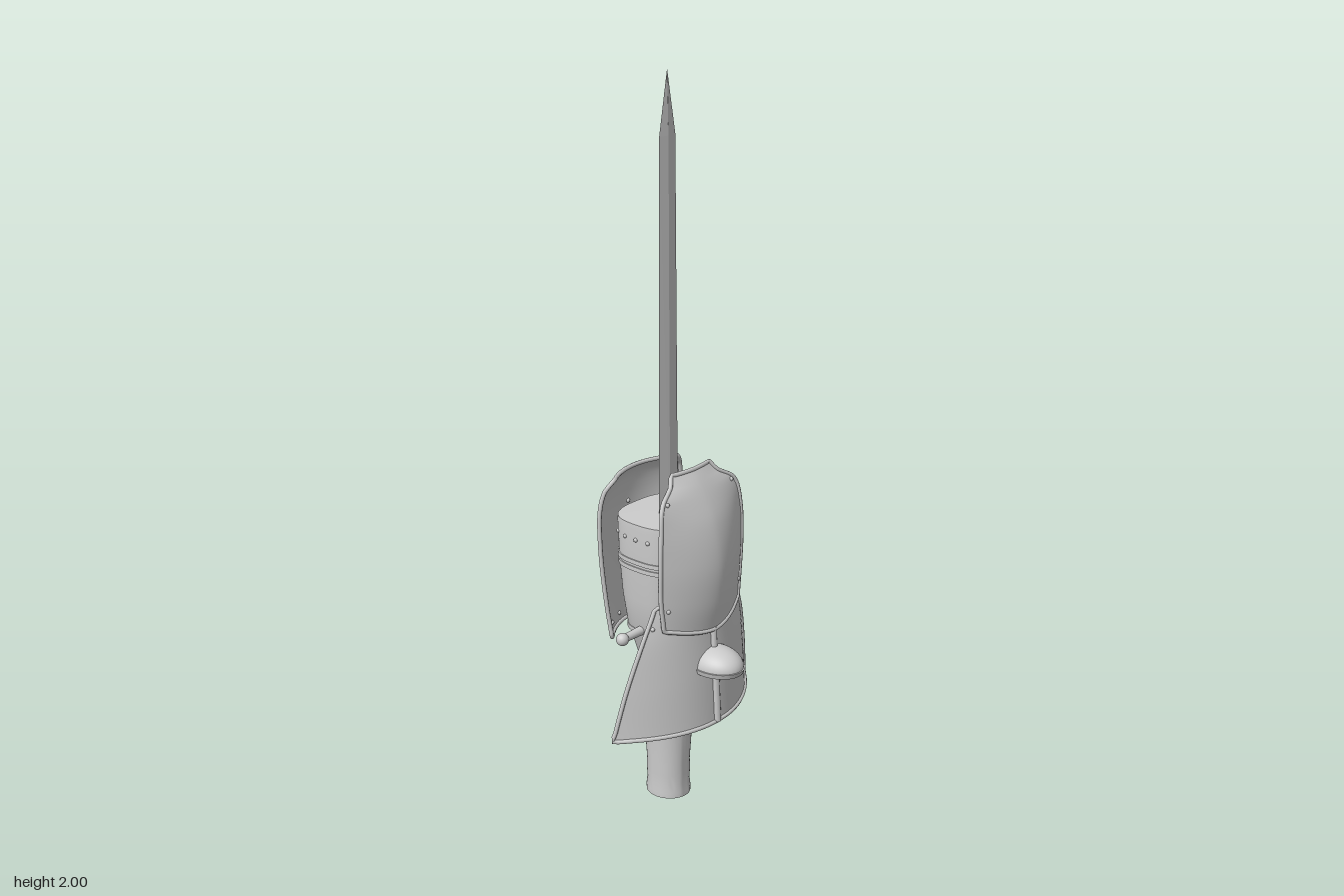
import * as THREE from 'three';
import { toCreasedNormals } from 'three/addons/utils/BufferGeometryUtils.js';

const mat = new THREE.MeshStandardMaterial({ color: 0xcccccc });
const thinMat = new THREE.MeshStandardMaterial({ color: 0xcccccc, side: THREE.DoubleSide });
const CZ = -0.05; // depth of the blade and body axis

function add(parent, name, geometry, x = 0, y = 0, z = 0, material = mat) {
  const m = new THREE.Mesh(geometry, material);
  m.name = name;
  m.position.set(x, y, z);
  parent.add(m);
  return m;
}

// Grid surface from f(u, v) -> [x, y, z], u and v in 0..1
function surface(f, nu, nv) {
  const pos = [], idx = [];
  for (let j = 0; j <= nv; j++)
    for (let i = 0; i <= nu; i++) pos.push(...f(i / nu, j / nv));
  for (let j = 0; j < nv; j++)
    for (let i = 0; i < nu; i++) {
      const a = j * (nu + 1) + i, b = a + nu + 1;
      idx.push(a, a + 1, b, a + 1, b + 1, b);
    }
  const g = new THREE.BufferGeometry();
  g.setAttribute('position', new THREE.Float32BufferAttribute(pos, 3));
  g.setIndex(idx);
  g.computeVertexNormals();
  return g;
}

// Closed loft: rows [y, halfX, halfZ], superelliptic sections of power n
function loft(rows, n, sides) {
  const pw = c => Math.sign(c) * Math.pow(Math.abs(c), 2 / n);
  return surface((u, v) => {
    const [y, hx, hz] = rows[Math.round(v * (rows.length - 1))];
    const a = -u * Math.PI * 2;
    return [hx * pw(Math.cos(a)), y, hz * pw(Math.sin(a))];
  }, sides, rows.length - 1);
}

// Curved armour plate: rows [y, halfWidth, zEdge, zCentre] from bottom to top, with a rolled rim
function plate(parent, name, rows, { power = 2, sag = 0, rim = 0.006 } = {}) {
  const curve = new THREE.CubicInterpolant(
    new Float32Array(rows.map(r => r[0])), new Float32Array(rows.flat()), 4);
  const y0 = rows[0][0], y1 = rows[rows.length - 1][0];
  const at = (u, v) => {
    const s = u * 2 - 1;
    const [y, w, ze, zc] = curve.evaluate(y0 + (y1 - y0) * v);
    const k = 1 - Math.pow(Math.abs(s), power);
    return [s * w, y - sag * k * (1 - v), ze + (zc - ze) * k];
  };
  const group = new THREE.Group();
  group.name = name;
  parent.add(group);
  add(group, name + 'Sheet', surface(at, 32, 28), 0, 0, 0, thinMat);
  const pts = [], n = 16;
  for (const edge of [t => [t, 0], t => [1, t], t => [1 - t, 1], t => [0, 1 - t]])
    for (let i = 0; i < n; i++) pts.push(new THREE.Vector3(...at(...edge(i / n))));
  const path = new THREE.CatmullRomCurve3(pts, true, 'catmullrom', 0.3);
  add(group, name + 'Rim', new THREE.TubeGeometry(path, 128, rim, 8, true));
  return { group, at };
}

// Small rivets at given u, v places on a plate
function rivets({ group, at }, places) {
  for (const [u, v] of places)
    add(group, 'rivet', new THREE.SphereGeometry(0.006, 8, 6), ...at(u, v));
}

export function createModel() {
  const model = new THREE.Group();

  // Blade with a diamond section
  const blade = loft([[0.8, 0.038, 0.006], [1.84, 0.03, 0.004], [2, 0.0005, 0.0005]], 2, 4).toNonIndexed();
  blade.computeVertexNormals();
  add(model, 'blade', blade, 0, 0, CZ);

  // Body with rounded square section, lid and bands
  const body = loft([[0.42, 0.001, 0.001], [0.42, 0.075, 0.07], [0.5, 0.1, 0.085], [0.52, 0.108, 0.09],
    [0.62, 0.12, 0.105], [0.72, 0.126, 0.113], [0.83, 0.13, 0.116], [0.843, 0.129, 0.115],
    [0.843, 0.124, 0.11], [0.846, 0.06, 0.055], [0.847, 0.001, 0.001]], 2.8, 64);
  add(model, 'body', toCreasedNormals(body, 0.6), 0, 0, CZ);
  for (const [y, hx, hz] of [[0.525, 0.111, 0.093], [0.715, 0.129, 0.116], [0.735, 0.13, 0.117]]) {
    const band = loft([[y - 0.006, hx - 0.01, hz - 0.01], [y - 0.006, hx, hz],
      [y + 0.006, hx, hz], [y + 0.006, hx - 0.01, hz - 0.01]], 2.8, 64);
    add(model, 'bodyBand', toCreasedNormals(band, 0.6), 0, 0, CZ);
  }
  for (const s of [-1, 1])
    for (let i = -2; i <= 2; i++)
      add(model, 'bodyRivet', new THREE.SphereGeometry(0.006, 8, 6),
        s * 0.129 * Math.pow(1 - Math.pow(Math.abs(i) * 0.35, 2.8), 1 / 2.8), 0.8, CZ + i * 0.04);

  // Grip with flared foot and collar
  const profile = [[0, 0], [0.064, 0], [0.064, 0.015], [0.061, 0.04], [0.063, 0.07], [0.062, 0.1],
    [0.073, 0.27], [0.079, 0.38], [0.085, 0.388], [0.086, 0.425], [0.08, 0.438], [0, 0.44]];
  const grip = new THREE.LatheGeometry(profile.map(p => new THREE.Vector2(...p)), 40);
  grip.scale(0.92, 1, 1);
  add(model, 'grip', toCreasedNormals(grip, 0.6), 0, 0, -0.053);

  // Crossguard bars with ball ends
  for (const s of [-1, 1]) {
    const bar = add(model, 'guardBar', new THREE.CylinderGeometry(0.011, 0.014, 0.1, 16), s * 0.125, 0.53, CZ - 0.003);
    bar.rotation.z = -s * Math.PI / 2;
    add(model, 'guardBall', new THREE.SphereGeometry(0.0175, 20, 14), s * 0.181, 0.53, CZ - 0.003);
  }

  // Flared skirt plate
  const skirt = plate(model, 'skirt', [[0.278, 0.272, -0.006, 0.125], [0.42, 0.239, 0.014, 0.116],
    [0.54, 0.2, 0.032, 0.106], [0.64, 0.155, 0.042, 0.1]], { power: 2.1 });
  rivets(skirt, [[0.03, 0.85], [0.97, 0.85], [0.06, 0.97], [0.94, 0.97]]);

  // Domed front plate narrowing to a notched top
  const front = plate(model, 'frontPlate', [[0.58, 0.15, 0.068, 0.115], [0.66, 0.16, 0.066, 0.13],
    [0.76, 0.163, 0.068, 0.134], [0.86, 0.158, 0.066, 0.113], [0.92, 0.145, 0.058, 0.083],
    [0.945, 0.122, 0.05, 0.067], [0.955, 0.098, 0.042, 0.06], [0.983, 0.075, 0.026, 0.036]],
  { power: 1.7, sag: 0.03 });
  rivets(front, [[0.05, 0.15], [0.95, 0.15], [0.05, 0.86], [0.95, 0.86]]);

  // Back plate curling forward at the top
  const back = plate(model, 'backPlate', [[0.497, 0.14, -0.13, -0.19], [0.6, 0.15, -0.14, -0.196],
    [0.78, 0.162, -0.148, -0.198], [0.88, 0.158, -0.147, -0.194], [0.925, 0.145, -0.138, -0.184],
    [0.948, 0.125, -0.127, -0.167]]);
  rivets(back, [[0.1, 0.06], [0.3, 0.06], [0.7, 0.06], [0.9, 0.06], [0.5, 0.75], [0.5, 0.3]]);
  for (const y of [0.72, 0.74])
    add(back.group, 'backSlot', new THREE.BoxGeometry(0.08, 0.008, 0.012), 0, y, -0.196);

  // Half dome cap on the front with a thin brim, stem and strap
  const dome = new THREE.SphereGeometry(1, 32, 12, 0, Math.PI * 2, 0, Math.PI / 2);
  add(model, 'frontDome', dome, 0, 0.449, 0.12, thinMat).scale.set(0.063, 0.05, 0.081);
  const brim = add(model, 'domeBrim', new THREE.CylinderGeometry(1, 0.94, 0.014, 32), 0, 0.443, 0.12);
  brim.scale.set(0.067, 1, 0.085);
  const strap = (name, a, b, r) => add(model, name,
    new THREE.TubeGeometry(new THREE.LineCurve3(new THREE.Vector3(...a), new THREE.Vector3(...b)), 4, r, 10));
  strap('domeStem', [0, 0.48, 0.113], [0, 0.555, 0.11], 0.009);
  strap('skirtStrap', [0, 0.278, 0.125], [0, 0.45, 0.116], 0.011);

  return model;
}
